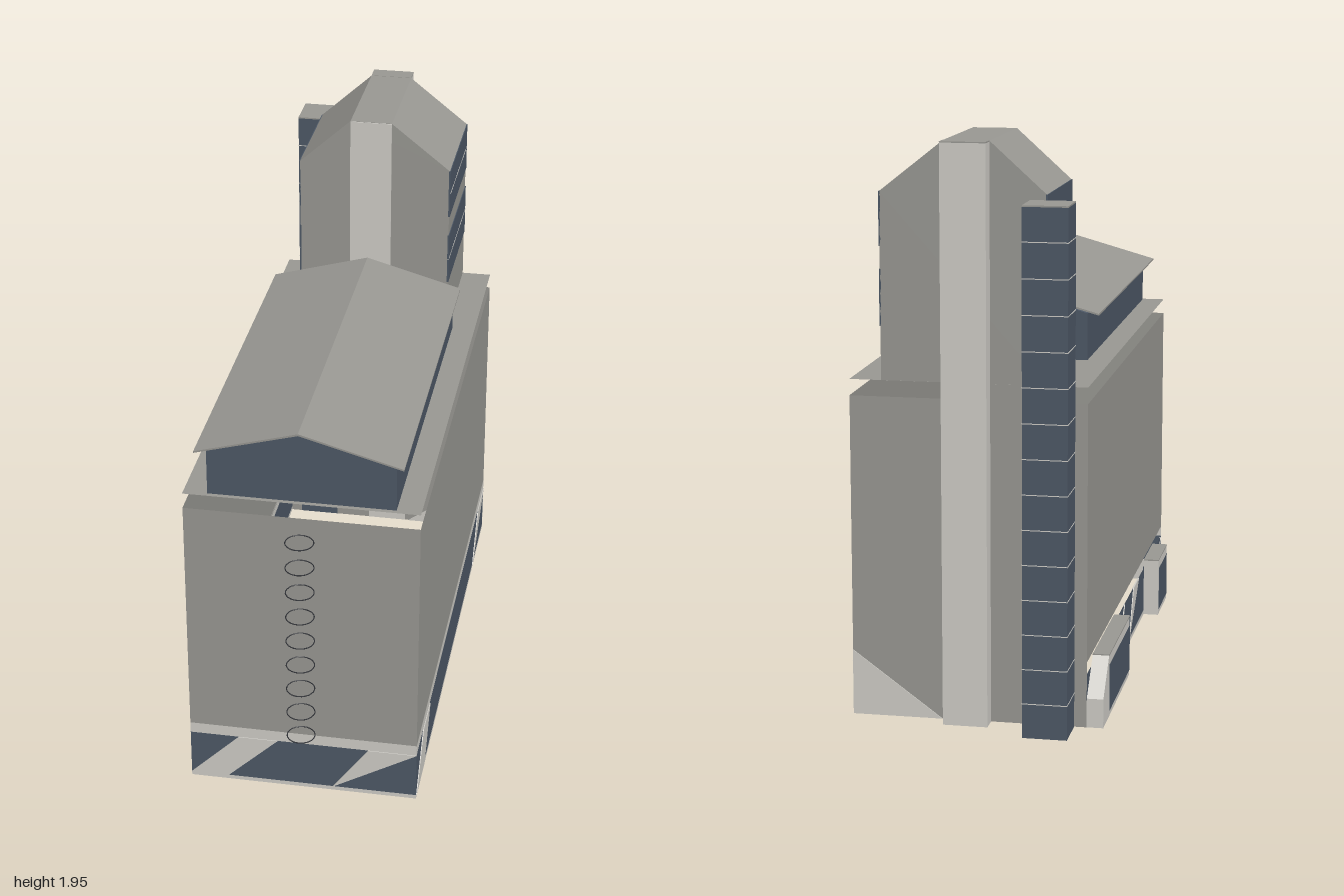
import * as THREE from 'three';

const D = THREE.DoubleSide;
const mat = (name, color) => {
  const m = new THREE.MeshStandardMaterial({ color, side: D });
  m.name = name;
  return m;
};

export function createModel() {
  const wall = mat('grey wall', 0x999893);
  const light = mat('light trim', 0xcfcdc7);
  const glass = mat('dark glass', 0x4d5866);
  const black = mat('ladder steel', 0x33353a);

  const model = new THREE.Group();
  const block = new THREE.Group();
  block.name = 'building';
  block.rotation.y = 0.253; // the block stands turned on its plot
  model.add(block);

  // Footprint of the main block
  const X0 = -0.372, X1 = 0.428, Z0 = -0.921, Z1 = 0.921;
  const SLAB = 1.155;

  const add = (parent, name, geo, m, x = 0, y = 0, z = 0) => {
    const mesh = new THREE.Mesh(geo, m);
    mesh.name = name;
    mesh.position.set(x, y, z);
    parent.add(mesh);
    return mesh;
  };
  const shape = (pts) => new THREE.Shape(pts.map(([x, y]) => new THREE.Vector2(x, y)));
  const rect = (a, b, y0, y1) => [[a, y0], [b, y0], [b, y1], [a, y1]];
  const panel = (p, name, pts, m) => add(p, name, new THREE.ShapeGeometry(shape(pts)), m);
  // Inlay: thin plate showing on both sides of a panel
  const inlay = (p, name, pts, m) =>
    add(p, name, new THREE.ExtrudeGeometry(shape(pts), { depth: 0.006, bevelEnabled: false }), m, 0, 0, -0.003);
  const prism = (name, pts, z0, z1, m) =>
    add(block, name, new THREE.ExtrudeGeometry(shape(pts), { depth: z1 - z0, bevelEnabled: false }), m, 0, 0, z0);
  const box = (name, x0, x1, y0, y1, z0, z1, m) =>
    add(block, name, new THREE.BoxGeometry(x1 - x0, y1 - y0, z1 - z0), m, (x0 + x1) / 2, (y0 + y1) / 2, (z0 + z1) / 2);
  const face = (name, x, z, ry) => {
    const g = new THREE.Group();
    g.name = name;
    g.position.set(x, 0, z);
    g.rotation.y = ry;
    block.add(g);
    return g;
  };

  // Main block: open shell of four walls with a glazed ground floor
  const front = face('frontFacade', 0, Z1, 0);
  const sideA = face('leftFacade', X1, 0, Math.PI / 2); // local x = -z
  const sideB = face('rightFacade', X0, 0, -Math.PI / 2); // local x = z
  const back = face('backFacade', 0, Z0, 0);
  for (const [f, a, b, trim] of [[front, X0, X1, true], [sideA, -Z1, -Z0, true], [sideB, Z0, Z1, false]]) {
    panel(f, 'upperWall', rect(a, b, 0.225, 1.1), wall);
    panel(f, 'groundGlazing', rect(a, b, 0.015, 0.185), glass);
    panel(f, 'baseStrip', rect(a, b, 0, 0.015), light);
    if (trim) panel(f, 'trimBand', rect(a, b, 0.185, 0.225), light);
  }
  panel(back, 'backWall', rect(X0, X1, 0, 1.1), wall);
  inlay(back, 'backWedge', [[0.12, 0], [X1, 0], [X1, 0.225]], light);

  // Slanted light wedges in the ground floor glazing
  const lo = 0.015, hi = 0.185;
  inlay(front, 'wedge', [[X0, lo], [-0.24, lo], [-0.062, hi], [-0.2, hi]], light);
  inlay(front, 'wedge', [[0.134, lo], [X1, hi], [0.258, hi]], light);
  inlay(sideA, 'wedge', [[-0.916, lo], [-0.73, lo], [-0.606, hi], [-0.77, hi]], light);
  inlay(sideA, 'wedge', [[0.6, lo], [0.92, hi], [0.737, hi]], light);
  inlay(sideB, 'wedge', [[0.04, lo], [0.28, hi], [0.14, hi]], light);
  inlay(sideB, 'wedge', [[0.7, lo], [0.78, lo], [0.9, hi]], light);
  inlay(sideB, 'wedge', [[-0.3, lo], [-0.2, lo], [-0.08, hi]], light);

  // Roof slab floating just above the walls
  const slab = add(block, 'roofSlab', new THREE.PlaneGeometry(X1 - X0, Z1 - Z0), wall, (X0 + X1) / 2, SLAB, 0);
  slab.rotation.x = -Math.PI / 2;

  // Glazed rooftop pavilion with a thin gable roof
  prism('pavilion', [[-0.29, SLAB], [0.345, SLAB], [0.345, 1.318], [0.02, 1.407], [-0.29, 1.318]], -0.44, 0.905, glass);
  prism('pavilionRoof', [[-0.33, 1.312], [0.02, 1.409], [0.37, 1.312], [0.37, 1.318], [0.02, 1.416], [-0.33, 1.318]],
    -0.445, 0.917, wall);

  // Rear tower with chamfered shoulders
  const TX0 = -0.235, TX1 = 0.32, TZ0 = -0.92, TZ1 = -0.456;
  prism('tower', [[TX0, SLAB], [TX1, SLAB], [TX1, 1.78], [0.105, 1.95], [-0.047, 1.95], [TX0, 1.78]], TZ0, TZ1, wall);
  box('towerFrontStrip', -0.047, 0.105, SLAB, 1.949, TZ1, TZ1 + 0.004, light);
  box('backPilaster', -0.047, 0.105, 0, 1.947, -0.983, TZ0, light);
  box('pilasterCap', -0.047, 0.105, 1.947, 1.951, -0.983, TZ0, wall);
  for (const x of [TX0, TX1]) {
    for (const [y0, y1] of [[1.335, 1.525], [1.6, 1.78]]) {
      box('towerWindows', x - 0.003, x + 0.003, y0, y1, TZ0, TZ1, glass);
      const m = (y0 + y1) / 2;
      box('windowLine', x - 0.004, x + 0.004, m - 0.002, m + 0.002, TZ0, TZ1, light);
    }
  }

  // Glass stair shaft with floor lines
  box('stairShaft', -0.33, -0.18, 0, 1.757, -1.064, -0.92, glass);
  box('stairShaftCap', -0.33, -0.18, 1.757, 1.762, -1.064, -0.92, wall);
  for (let i = 1; i < 15; i++) {
    const y = i * 0.1175;
    box('floorLine', -0.331, -0.179, y - 0.0015, y + 0.0015, -1.065, -0.919, light);
  }

  // Low glazed bays on the side, the rear one with a sloped end
  const bay = (name, pts, glazing) => {
    const g = face(name, X0, 0, -Math.PI / 2);
    add(g, 'bayBody', new THREE.ExtrudeGeometry(shape(pts), { depth: 0.056, bevelEnabled: false }), light);
    add(g, 'bayGlazing', new THREE.ShapeGeometry(shape(glazing)), glass, 0, 0, 0.058);
    add(g, 'bayInnerGlazing', new THREE.ShapeGeometry(shape(glazing)), glass, 0, 0, -0.004);
    const end = pts[2][0], start = pts[3][0];
    box('bayRoof', X0 - 0.057, X0, 0.214, 0.219, start, end, wall);
  };
  bay('rearBay', [[-0.92, 0], [-0.33, 0], [-0.33, 0.215], [-0.8, 0.215], [-0.92, 0.1]], rect(-0.8, -0.335, 0.02, 0.185));
  bay('frontBay', rect(0.426, 0.665, 0, 0.215), rect(0.432, 0.66, 0.02, 0.185));

  // Ladder hoops on the front wall
  for (let i = 0; i < 9; i++) {
    const hoop = add(block, 'ladderHoop', new THREE.TorusGeometry(0.048, 0.002, 5, 24), black, 0.035, 0.27 + i * 0.097, 0.985);
    hoop.rotation.x = Math.PI / 2;
  }

  return model;
}
